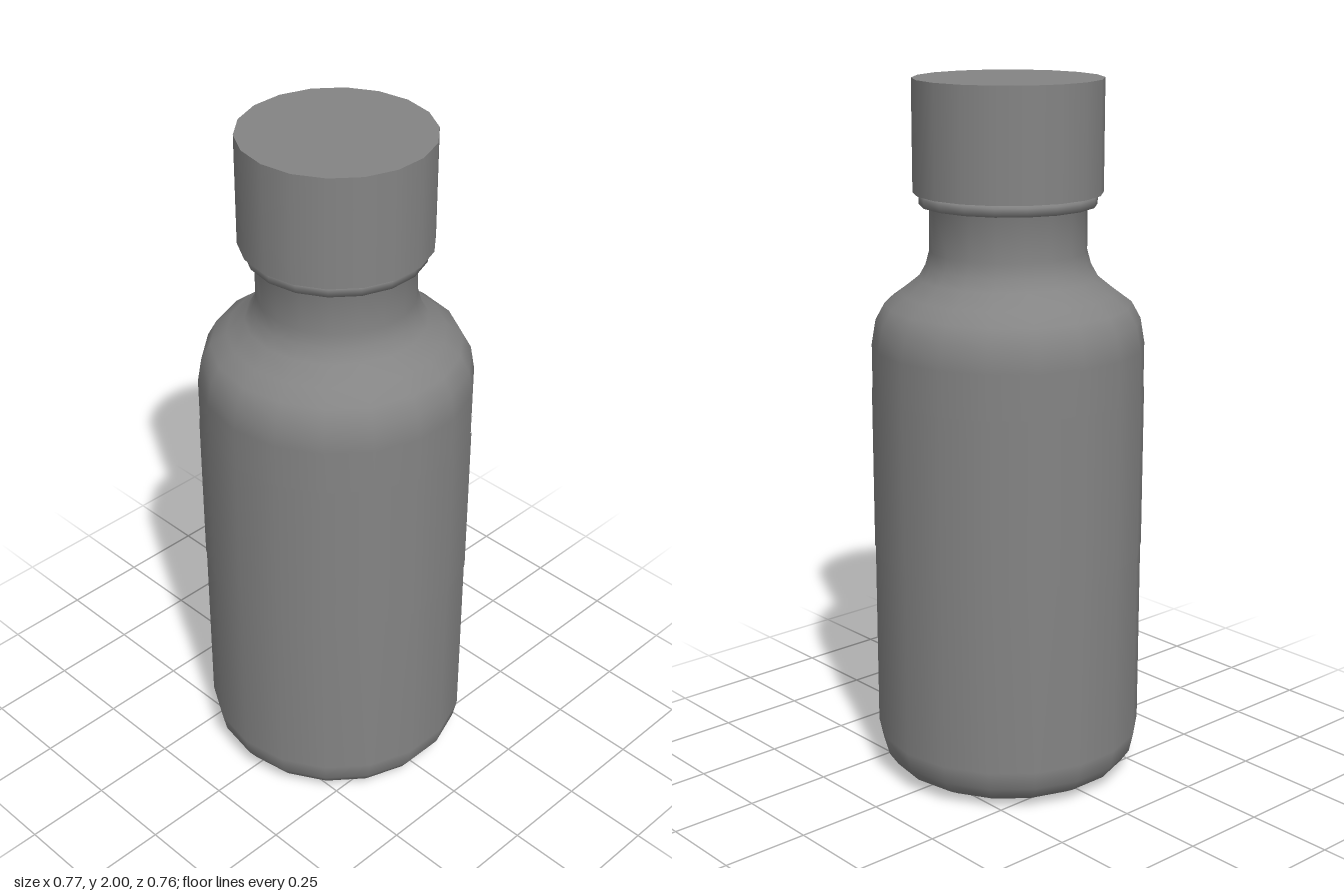
import * as THREE from 'three';

const SIDES = 18;
const START = Math.PI / 2; // puts a corner of the ring on the x axis

export function createModel() {
  const group = new THREE.Group();
  const material = new THREE.MeshStandardMaterial({ color: 0x848484 });

  const add = (name, geometry, y = 0) => {
    const mesh = new THREE.Mesh(geometry, material);
    mesh.name = name;
    mesh.position.y = y;
    group.add(mesh);
  };

  // Body with recessed base, rounded shoulder, neck and neck ring in one smooth profile
  const profile = [
    [0, 0.035], [0.14, 0.032], [0.19, 0.02], [0.225, 0.005], [0.26, 0], [0.305, 0.01],
    [0.345, 0.033], [0.371, 0.07], [0.383, 0.125],
    [0.383, 1.265], [0.371, 1.335], [0.345, 1.382], [0.3, 1.415],
    [0.25, 1.455], [0.23, 1.49], [0.219, 1.53], [0.218, 1.655],
    [0.246, 1.657], [0.247, 1.68], [0.238, 1.687], [0.21, 1.69],
  ].map(([r, y]) => new THREE.Vector2(r, y));
  add('bottle', new THREE.LatheGeometry(profile, SIDES, START));

  // Thin label sleeve wrapped around the body
  add('label', new THREE.CylinderGeometry(0.385, 0.385, 0.47, SIDES, 1, true, START), 0.905);

  // Screw cap
  add('cap', new THREE.CylinderGeometry(0.263, 0.263, 0.31, SIDES, 1, false, START), 1.845);

  return group;
}
